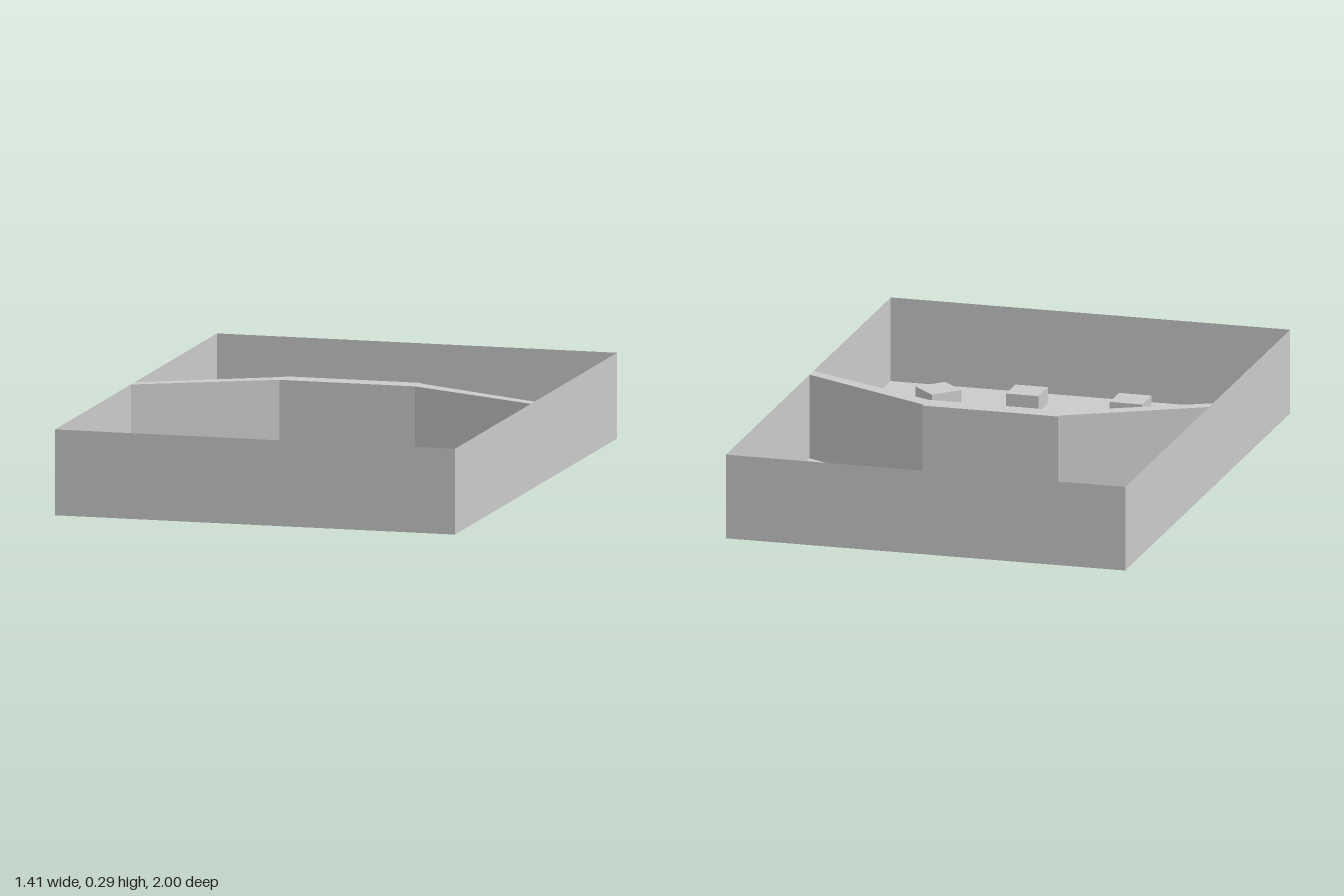
import * as THREE from 'three';

const material = new THREE.MeshStandardMaterial({ color: 0xcccccc, flatShading: true });
const sheetMaterial = new THREE.MeshStandardMaterial({ color: 0xcccccc, side: THREE.DoubleSide });

const WIDTH = 1.41, DEPTH = 2, HEIGHT = 0.295;

export function createModel() {
  const model = new THREE.Group();

  const add = (name, geometry, x, y, z, turn = 0, mat = material) => {
    const mesh = new THREE.Mesh(geometry, mat);
    mesh.name = name;
    mesh.position.set(x, y, z);
    mesh.rotation.y = turn;
    model.add(mesh);
    return mesh;
  };

  // Open tray: thin floor and four thin outer walls
  const floor = new THREE.PlaneGeometry(WIDTH, DEPTH).rotateX(-Math.PI / 2);
  add('floor', floor, 0, 0, 0, 0, sheetMaterial);
  const endWall = new THREE.PlaneGeometry(WIDTH, HEIGHT);
  const sideWall = new THREE.PlaneGeometry(DEPTH, HEIGHT);
  add('frontWall', endWall, 0, HEIGHT / 2, DEPTH / 2, 0, sheetMaterial);
  add('backWall', endWall, 0, HEIGHT / 2, -DEPTH / 2, Math.PI, sheetMaterial);
  add('leftWall', sideWall, WIDTH / 2, HEIGHT / 2, 0, Math.PI / 2, sheetMaterial);
  add('rightWall', sideWall, -WIDTH / 2, HEIGHT / 2, 0, -Math.PI / 2, sheetMaterial);

  // Angled partition across the middle, plan outline as [x, z]
  const outline = [
    [-0.705, 0.064], [-0.246, -0.164], [0.232, -0.164], [0.705, 0.064],
    [0.705, 0.017], [0.233, -0.226], [0.233, -0.238],
    [-0.247, -0.238], [-0.247, -0.226], [-0.705, 0.017],
  ];
  const plan = new THREE.Shape(outline.map(([x, z]) => new THREE.Vector2(x, -z)));
  const partition = new THREE.ExtrudeGeometry(plan, { depth: HEIGHT, bevelEnabled: false });
  add('partition', partition.rotateX(-Math.PI / 2), 0, 0, 0);

  // Low blocks in an arc near the front: [x, z, turn]
  const block = new THREE.BoxGeometry(0.115, 0.057, 0.115);
  [
    [-0.537, 0.508, 0], [-0.477, 0.772, Math.PI / 4], [-0.191, 0.831, 0],
    [0.175, 0.831, 0], [0.47, 0.772, Math.PI / 4], [0.527, 0.508, 0],
  ].forEach(([x, z, turn], i) => add(`block${i + 1}`, block, x, 0.0285, z, turn));

  // Pedestal at the back: square base, chamfered top and a small cube
  const px = -0.44, pz = -0.817;
  add('pedestalBase', new THREE.BoxGeometry(0.175, 0.035, 0.175), px, 0.0175, pz);
  const taper = new THREE.CylinderGeometry(0.068 * Math.SQRT2, 0.0875 * Math.SQRT2, 0.033, 4);
  add('pedestalTop', taper, px, 0.0515, pz, Math.PI / 4);
  add('pedestalCube', new THREE.BoxGeometry(0.06, 0.057, 0.06), -0.437, 0.0965, -0.813);

  return model;
}
